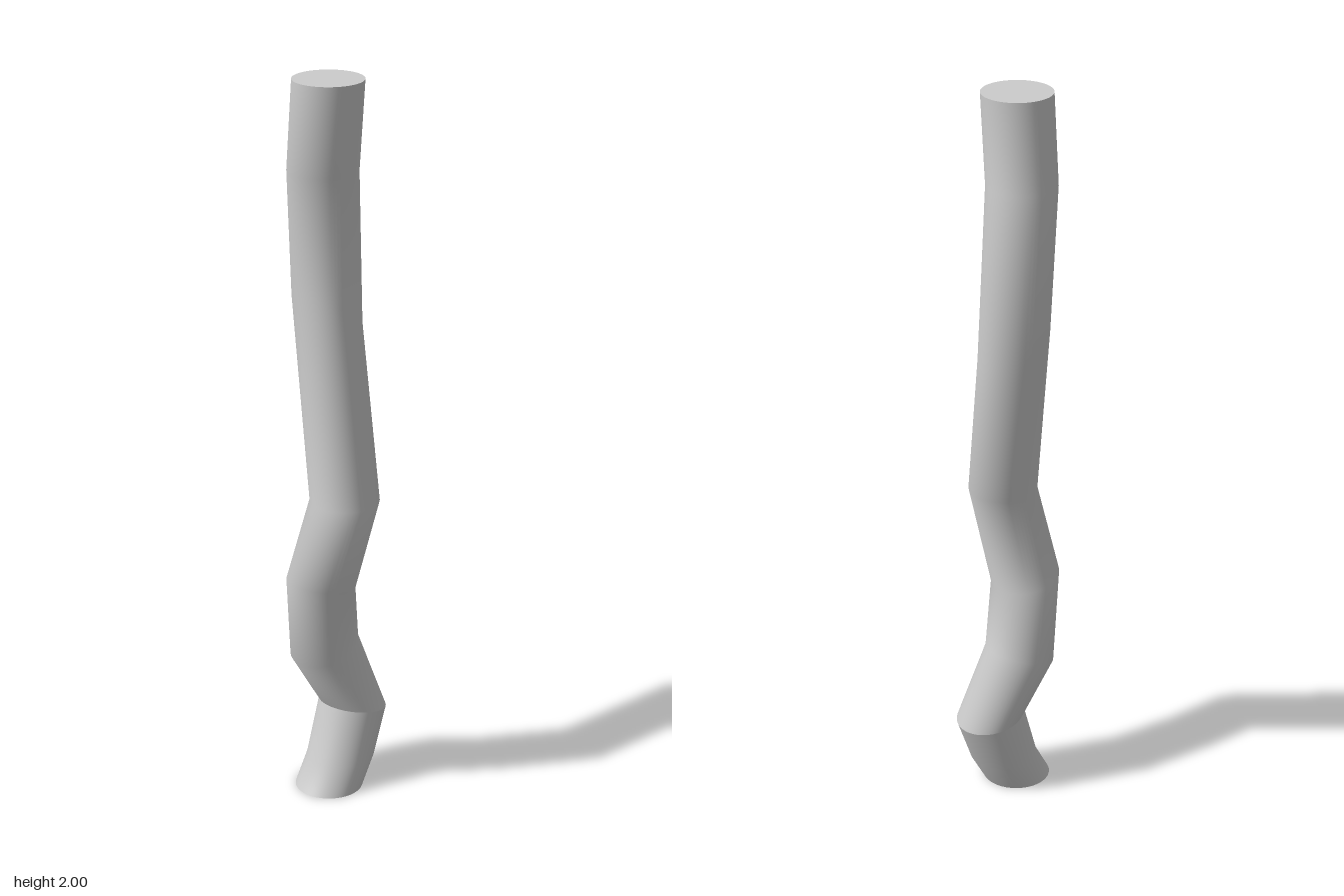
import * as THREE from 'three';

const RADIUS = 0.093;
const SIDES = 64;

// Stations of the bent rod: x, y, z, rise of the ring toward +z, drift of z along that rise
const BASE = [
  [0.004, 0, 0.033, 0, 0],
  [0.004, 0.08, -0.012, 0, 0],
  [0.004, 0.222, -0.058, 0.018, 0],
];
const UPPER = [
  BASE[2],
  [-0.029, 0.41, 0.02, -0.03, -0.003],
  [0.003, 0.622, 0.062, 0.018, 0],
  [0.063, 0.875, 0.032, 0, 0],
  [-0.065, 1.363, -0.025, 0.053, -0.008],
  [-0.016, 1.76, 0.033, 0, 0],
  [0.004, 2, 0.033, 0, 0],
];

const material = new THREE.MeshStandardMaterial({ color: 0xcccccc });

function addMesh(group, name, geometry) {
  const mesh = new THREE.Mesh(geometry, material);
  mesh.name = name;
  group.add(mesh);
  return mesh;
}

// Smooth skin through equal circles carried along the stations
function sweptTube(stations) {
  const positions = [];
  const index = [];
  stations.forEach(([x, y, z, rise, drift], row) => {
    for (let i = 0; i < SIDES; i++) {
      const t = (i / SIDES) * Math.PI * 2;
      const s = Math.sin(t);
      positions.push(x + RADIUS * Math.cos(t), y + rise * s, z + (RADIUS + drift * s) * s);
      if (row === 0) continue;
      const next = (i + 1) % SIDES;
      const low = (row - 1) * SIDES;
      const high = row * SIDES;
      index.push(low + i, high + i, low + next, low + next, high + i, high + next);
    }
  });
  const geometry = new THREE.BufferGeometry();
  geometry.setAttribute('position', new THREE.Float32BufferAttribute(positions, 3));
  geometry.setIndex(index);
  geometry.computeVertexNormals();
  return geometry;
}

function addCap(group, name, [x, y, z], facing) {
  const disc = new THREE.CircleGeometry(RADIUS, SIDES).rotateX((-facing * Math.PI) / 2);
  addMesh(group, name, disc).position.set(x, y, z);
}

export function createModel() {
  const group = new THREE.Group();
  group.name = 'bentRod';

  // The two lengths meet in a sharp elbow near the foot
  addMesh(group, 'foot', sweptTube(BASE));
  addMesh(group, 'wavyShaft', sweptTube(UPPER));

  // Flat level ends
  addCap(group, 'bottomEnd', BASE[0], -1);
  addCap(group, 'topEnd', UPPER[UPPER.length - 1], 1);
  return group;
}
